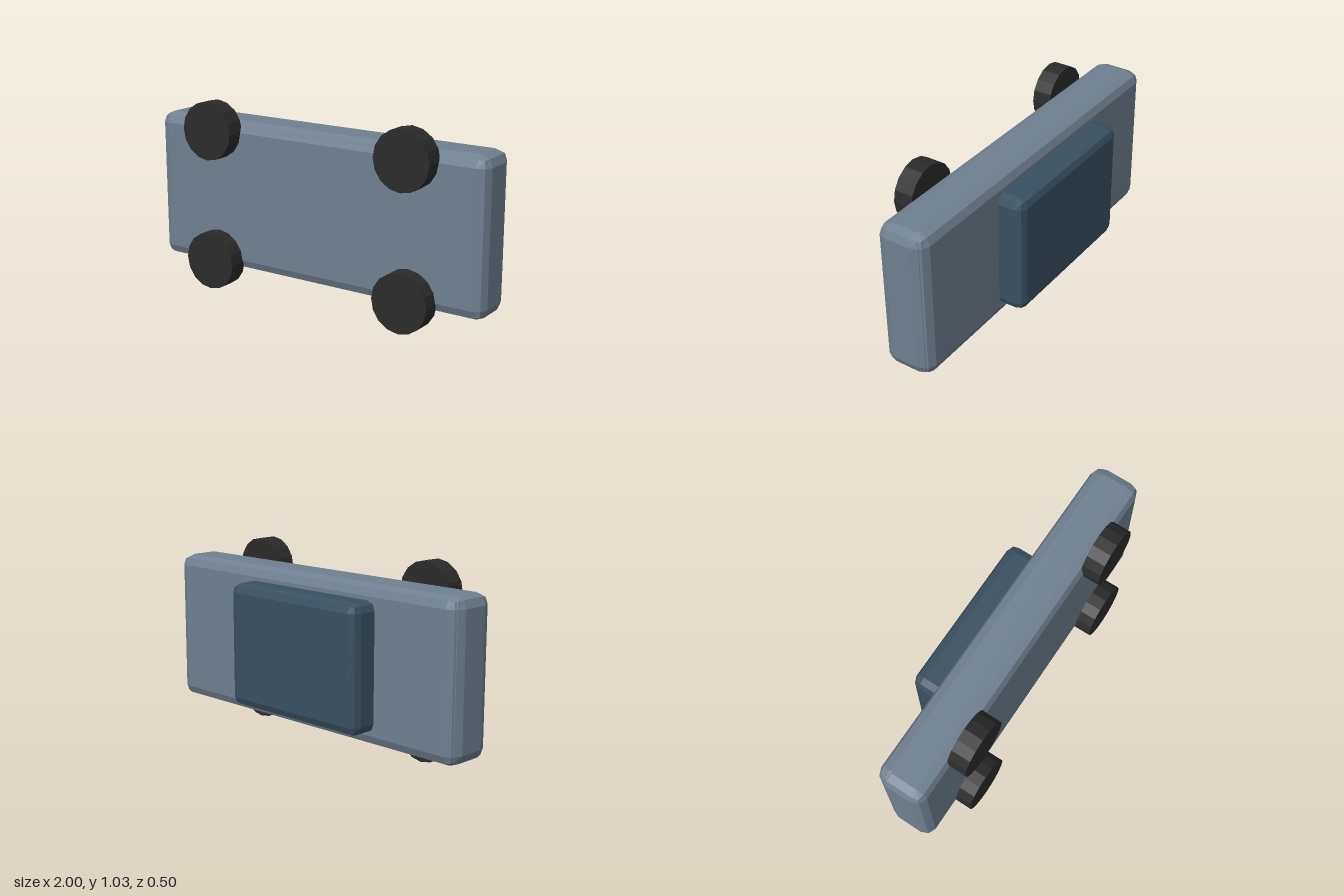
import * as THREE from 'three';
import { RoundedBoxGeometry } from 'three/addons/geometries/RoundedBoxGeometry.js';

function flatMaterial(name, color) {
  const material = new THREE.MeshStandardMaterial({ color, flatShading: true });
  material.name = name;
  return material;
}

// Box between two corners, its edges bevelled in two steps
function bevelledBox(name, min, max, bevel, material) {
  const size = max.map((v, i) => v - min[i]);
  const mesh = new THREE.Mesh(new RoundedBoxGeometry(...size, 1, bevel), material);
  mesh.position.set(...max.map((v, i) => (v + min[i]) / 2));
  mesh.name = name;
  return mesh;
}

export function createModel() {
  const bodyPaint = flatMaterial('slate grey paint', 0x708090);
  const cabinPaint = flatMaterial('dark blue grey', 0x3a5060);
  const rubber = flatMaterial('black rubber', 0x2b2b2b);
  const car = new THREE.Group();
  car.name = 'car';

  // Body lies on its side: wheels face +z, cabin faces -z
  car.add(bevelledBox('body', [-1, 0.107, -0.096], [1, 0.923, 0.159], 0.057, bodyPaint));
  car.add(bevelledBox('upperBody', [-0.992, 0.107, -0.109], [0.992, 0.923, 0.1], 0.057, bodyPaint));
  car.add(bevelledBox('cabin', [-0.5, 0.182, -0.2486], [0.405, 0.846, 0], 0.048, cabinPaint));

  // Four wheels with their axles along z
  const wheelGeometry = new THREE.CylinderGeometry(0.156, 0.156, 0.104, 16).rotateX(Math.PI / 2);
  for (const x of [-0.598, 0.592]) {
    for (const y of [0.156, 0.872]) {
      const wheel = new THREE.Mesh(wheelGeometry, rubber);
      wheel.position.set(x, y, 0.1966);
      wheel.name = 'wheel';
      car.add(wheel);
    }
  }
  return car;
}
